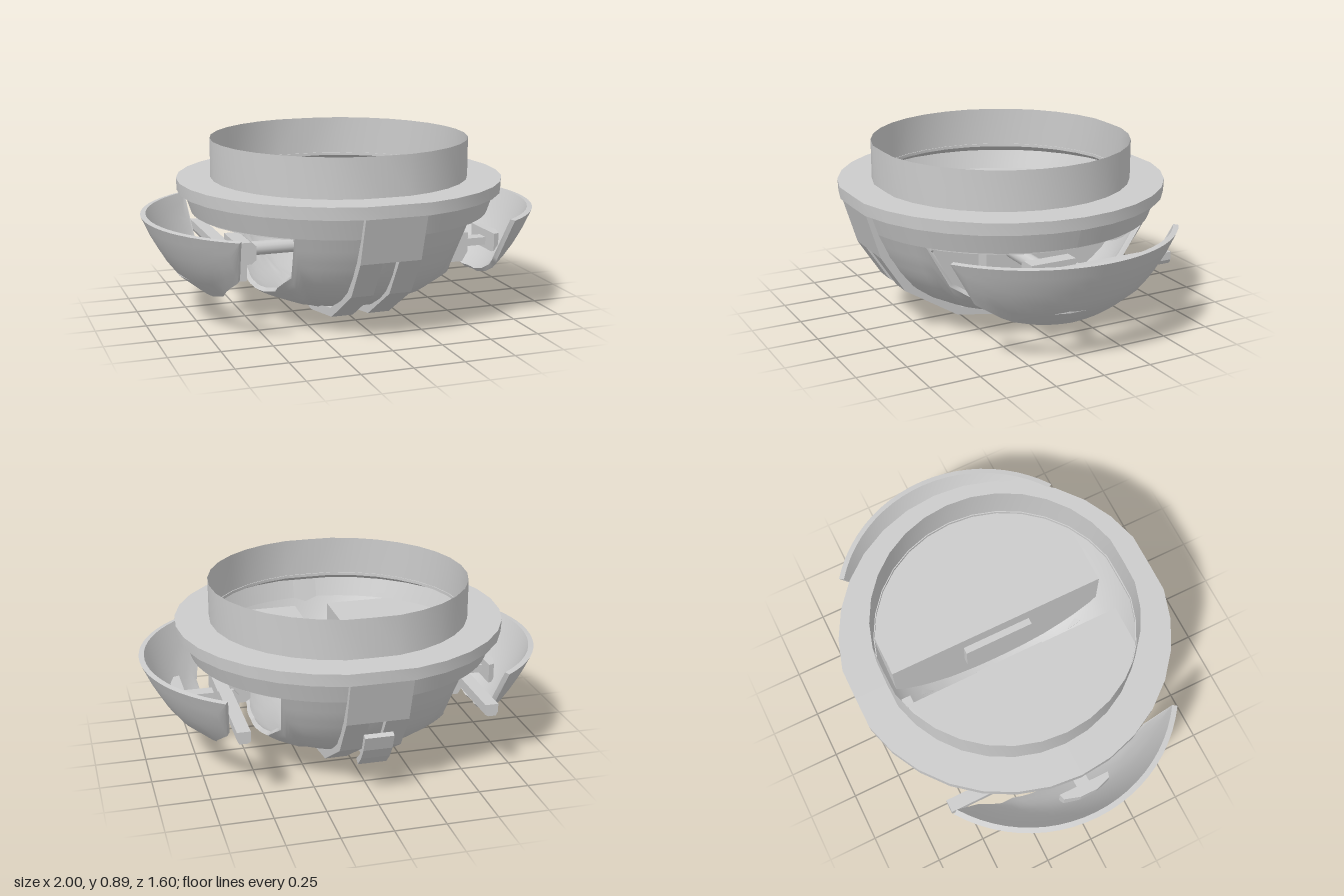
import * as THREE from 'three';
import { ParametricGeometry } from 'three/addons/geometries/ParametricGeometry.js';
import { toCreasedNormals } from 'three/addons/utils/BufferGeometryUtils.js';

const material = new THREE.MeshStandardMaterial({ color: 0xcccccc, side: THREE.DoubleSide });
const lerp = THREE.MathUtils.lerp;
const DEG = Math.PI / 180;

// Piecewise linear lookup in [x, y] points sorted by x
function lookup(points, x) {
  for (let i = 1; i < points.length; i++) {
    const [x0, y0] = points[i - 1], [x1, y1] = points[i];
    if (x <= x1) return lerp(y0, y1, Math.max(0, (x - x0) / (x1 - x0)));
  }
  return points[points.length - 1][1];
}

// Hull radius by height, and lower edge of the side bay by angle from the side axis
const HULL = [[0.05, 0], [0.06, 0.16], [0.09, 0.3], [0.155, 0.45], [0.245, 0.57],
  [0.335, 0.64], [0.44, 0.7], [0.54, 0.745], [0.645, 0.78]];
const BAY_EDGE = [[0, 0.16], [20, 0.175], [35, 0.21], [50, 0.32], [55, 0.54], [90, 0.54]];
const BAY_TOP = 0.54;
const radius = (y) => lookup(HULL, y);
const bayEdge = (theta) => {
  const a = Math.abs(theta / DEG) % 180;
  return lookup(BAY_EDGE, Math.min(a, 180 - a));
};

function add(parent, name, geometry, x = 0, y = 0, z = 0) {
  const mesh = new THREE.Mesh(geometry, material);
  mesh.name = name;
  mesh.position.set(x, y, z);
  parent.add(mesh);
  return mesh;
}

// Box given by its limits on each axis
function box(parent, name, [x0, x1], [y0, y1], [z0, z1]) {
  return add(parent, name, new THREE.BoxGeometry(x1 - x0, y1 - y0, z1 - z0),
    (x0 + x1) / 2, (y0 + y1) / 2, (z0 + z1) / 2);
}

function extrude(points, depth) {
  const shape = new THREE.Shape(points.map(([x, y]) => new THREE.Vector2(x, y)));
  return new THREE.ExtrudeGeometry(shape, { depth, bevelEnabled: false });
}

// Curved plate between two heights, with inner skin and edges
function shell(name, start, end, low, high, slices, rows) {
  const group = new THREE.Group();
  group.name = name;
  const point = (u, v, depth, target) => {
    const theta = lerp(start, end, u);
    const y = lerp(low(theta), high(theta), v);
    const k = 1 - 0.035 * depth;
    const r = radius(y) * k;
    target.set(r * Math.cos(theta), 0.64 - (0.64 - y) * k, r * Math.sin(theta));
  };
  const surface = (part, fn, n, m) => {
    const geometry = new ParametricGeometry(fn, n, m);
    geometry.computeVertexNormals();
    add(group, part, geometry);
  };
  surface('outerSkin', (u, v, t) => point(u, 1 - v * v, 0, t), slices, rows);
  surface('innerSkin', (u, v, t) => point(u, (1 - v) ** 2, 1, t), slices, rows);
  surface('upperEdge', (u, v, t) => point(u, 1, v, t), slices, 1);
  surface('lowerEdge', (u, v, t) => point(u, 0, 1 - v, t), slices, 1);
  return group;
}

// Many-sided ring turned from a profile, with flattened front and back
function ring(profile, flatZ) {
  const g = new THREE.LatheGeometry(profile.map(([r, y]) => new THREE.Vector2(r, y)), 32);
  const p = g.attributes.position;
  for (let i = 0; i < p.count; i++) {
    const limit = Math.hypot(p.getX(i), p.getZ(i)) * flatZ;
    p.setZ(i, THREE.MathUtils.clamp(p.getZ(i), -limit, limit));
  }
  return toCreasedNormals(g, 0.6);
}

// Slice through the hull at a distance from its axis, below the bay top
function slice(offset, from, to) {
  const points = [];
  for (let i = 0; i <= 24; i++) {
    const s = lerp(from, to, i / 24);
    let y = 0.06;
    while (y < BAY_TOP && radius(y) * 0.975 < Math.hypot(s, offset)) y += 0.005;
    points.push([s, Math.min(y, BAY_TOP - 0.005)]);
  }
  points.push([to, BAY_TOP], [from, BAY_TOP]);
  return points;
}

function buildSide() {
  const side = new THREE.Group();

  // Swung-out bay door
  const door = shell('bayDoor', -55 * DEG, 55 * DEG, bayEdge, () => BAY_TOP, 22, 8);
  door.position.x = 0.255;
  side.add(door);

  // Bay roof, inner wall and end walls
  const roof = [[0.09, -0.58], [0.43, -0.58]];
  for (let a = -50; a <= 50; a += 10) roof.push([0.73 * Math.cos(a * DEG), 0.73 * Math.sin(a * DEG)]);
  roof.push([0.43, 0.58], [0.09, 0.58]);
  add(side, 'bayRoof', extrude(roof, 0.015), 0, BAY_TOP + 0.005, 0).rotation.x = Math.PI / 2;
  add(side, 'bayInnerWall', extrude(slice(0.09, -0.58, 0.58), 0.015), 0.09).rotation.y = -Math.PI / 2;
  side.children[side.children.length - 1].position.x = 0.105;
  for (const s of [-1, 1])
    add(side, 'bayEndWall', extrude(slice(0.58, 0.09, 0.42), 0.012), 0, 0, s * 0.575 - 0.006);

  // Side gun on its mount
  box(side, 'mountHousing', [0.055, 0.19], [0.28, 0.45], [-0.19, 0.18]);
  add(side, 'mountArm', new THREE.CylinderGeometry(0.036, 0.036, 0.42, 12), 0.29, 0.365, 0.04)
    .rotation.z = Math.PI / 2;
  add(side, 'gunCradle', extrude([[0.475, 0.33], [0.5, 0.31], [0.575, 0.31], [0.575, 0.42],
    [0.5, 0.42], [0.475, 0.4]], 0.24), 0, 0, -0.1);
  add(side, 'gunBody', extrude([[0.535, 0.24], [0.61, 0.24], [0.64, 0.29], [0.64, 0.39],
    [0.56, 0.39], [0.535, 0.36]], 0.3), 0, 0, -0.12);
  add(side, 'gunBarrel', extrude([[0.57, 0.34], [0.585, 0.33], [0.625, 0.33], [0.635, 0.35],
    [0.635, 0.39], [0.57, 0.39]], 0.5), 0, 0, -0.605);

  // Door strut and its pad
  box(side, 'doorStrut', [0.62, 0.8], [0.29, 0.33], [0.01, 0.08]);
  add(side, 'doorPad', extrude([[0.79, -0.09], [0.82, -0.08], [0.845, 0], [0.845, 0.09],
    [0.82, 0.17], [0.79, 0.18]], 0.1), 0, 0.37, 0).rotation.x = Math.PI / 2;
  return side;
}

export function createModel() {
  const model = new THREE.Group();
  model.name = 'lowerPod';

  // Bowl with a bay cut out of each side, and its upper strip
  model.add(shell('hull', 0, Math.PI * 2, () => 0.05, bayEdge, 72, 14));
  model.add(shell('hullUpperStrip', 0, Math.PI * 2, () => BAY_TOP, () => 0.645, 72, 2));

  // Flange and open collar
  add(model, 'flange', ring([[0.64, 0.69], [0.74, 0.645], [0.812, 0.645], [0.815, 0.705],
    [0.64, 0.705], [0.64, 0.69]], 0.982));
  add(model, 'collar', ring([[0.645, 0.7], [0.645, 0.9]], 0.985));

  // Twin keel bands, joined above the groove at front and back
  const outer = [[0.79, 0.645], [0.72, 0.42], [0.6, 0.235], [0.32, 0.06], [0, 0.008]];
  const inner = [[0.75, 0.645], [0.675, 0.42], [0.555, 0.25], [0.3, 0.1], [0, 0.06]];
  const mirror = (half) => half.slice(0, -1).map(([z, y]) => [-z, y]).reverse();
  const band = [...outer, ...mirror(outer), ...mirror(inner).reverse(), ...[...inner].reverse()];
  for (const x of [-0.04, 0.15]) {
    add(model, 'keelBand', extrude(band, 0.11), x, 0, 0).rotation.y = -Math.PI / 2;
  }
  for (const s of [-1, 1]) {
    const cap = [outer[0], outer[1], inner[1], inner[0]].map(([z, y]) => [s * z, y]);
    add(model, 'keelCap', extrude(cap, 0.08), 0.04, 0, 0).rotation.y = -Math.PI / 2;
  }

  // Rear hatch, open, with its arm
  add(model, 'rearHatch', extrude([[-0.605, 0.19], [-0.63, 0.17], [-0.685, 0.225], [-0.725, 0.285],
    [-0.755, 0.36], [-0.73, 0.37], [-0.7, 0.29], [-0.66, 0.235]], 0.14), 0.07, 0, 0)
    .rotation.y = -Math.PI / 2;
  box(model, 'hatchArm', [-0.03, 0.03], [0.27, 0.3], [-0.7, -0.53]);

  // Matching bays on both sides
  for (const s of [1, -1]) {
    const side = buildSide();
    side.name = s > 0 ? 'leftBay' : 'rightBay';
    side.scale.x = s;
    model.add(side);
  }
  return model;
}
